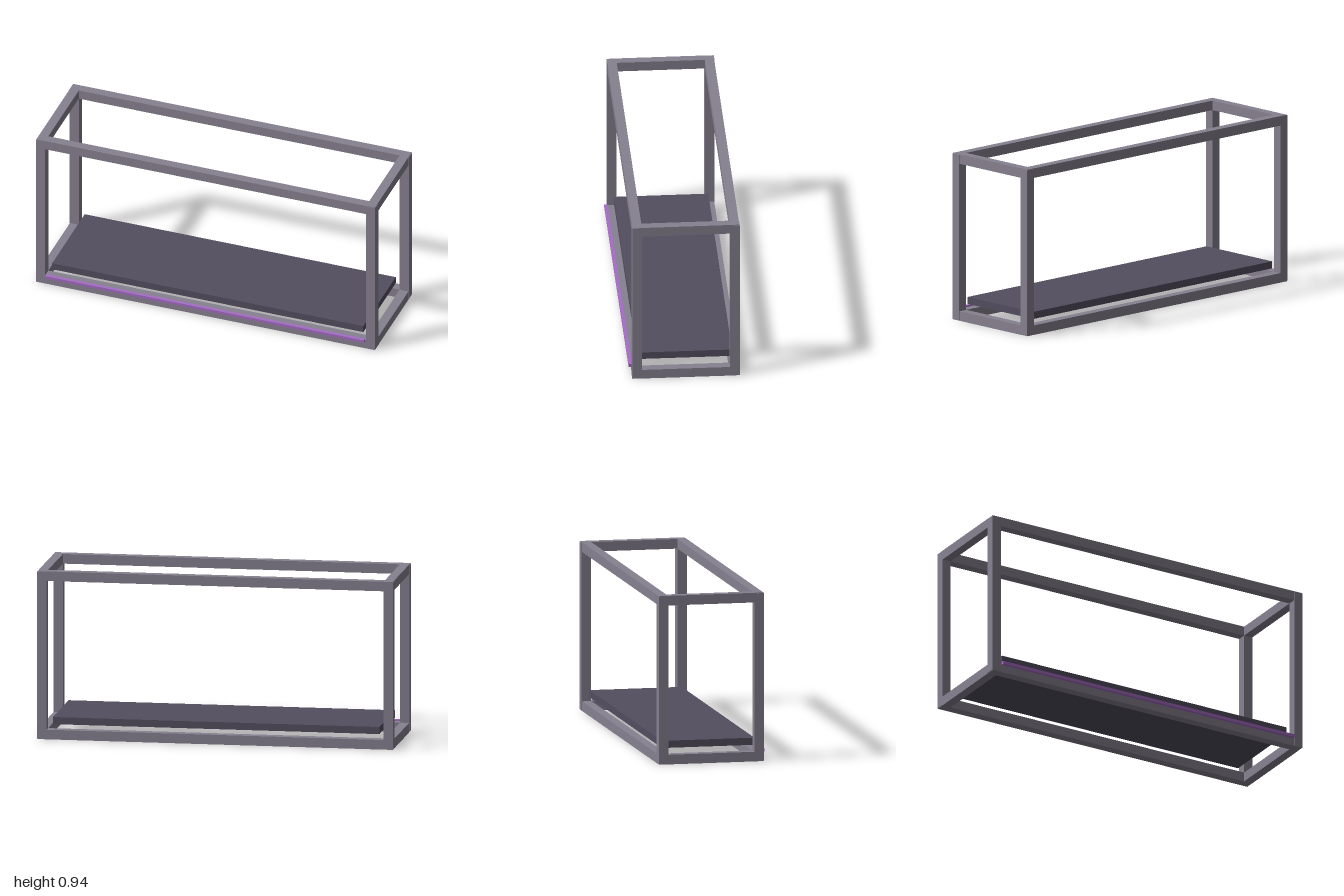
import * as THREE from 'three';

export function createModel() {
  const model = new THREE.Group();
  model.name = 'frameShelf';

  const frameMat = new THREE.MeshStandardMaterial({ name: 'grey frame', color: 0x878190 });
  const shelfMat = new THREE.MeshStandardMaterial({ name: 'dark shelf', color: 0x534e5f });
  const stripMat = new THREE.MeshStandardMaterial({ name: 'purple strip', color: 0xa56cc4 });

  // Box given by its limits on each axis
  function block(name, mat, [x0, x1], [y0, y1], [z0, z1], parent = model) {
    const mesh = new THREE.Mesh(new THREE.BoxGeometry(x1 - x0, y1 - y0, z1 - z0), mat);
    mesh.position.set((x0 + x1) / 2, (y0 + y1) / 2, (z0 + z1) / 2);
    mesh.name = name;
    parent.add(mesh);
  }

  const H = 0.945, T = 0.054, back = -0.305, front = 0.292, lip = 0.003;
  const frame = new THREE.Group();
  frame.name = 'frame';
  model.add(frame);

  const xSpans = { right: [-1, -1 + T], left: [1 - T, 1] };
  const ySpans = { bottom: [0, T], top: [H - T, H] };
  const zSpans = { Back: [back, back + T], Front: [front - T, front] };

  // Corner posts, standing slightly proud of the rails
  for (const [side, xs] of Object.entries(xSpans))
    for (const [end, zs] of Object.entries(zSpans))
      block(`${side}${end}Post`, frameMat, xs, [lip, H - lip], zs, frame);

  for (const [level, ys] of Object.entries(ySpans)) {
    // Long rails
    for (const [end, [z0, z1]] of Object.entries(zSpans))
      block(`${level}${end}Rail`, frameMat, [-1 + lip, 1 - lip], ys,
        end === 'Front' ? [z0, z1 - 0.002] : [z0 + 0.002, z1], frame);
    // Short side rails between the long ones
    for (const [side, [x0, x1]] of Object.entries(xSpans))
      block(`${level}${side}SideRail`, frameMat,
        side === 'left' ? [x0, x1 - 0.002] : [x0 + 0.002, x1], ys, [back + T, front - T], frame);
  }

  // Raised shelf board and the front accent strip
  block('shelfBoard', shelfMat, [-0.917, 0.917], [0.08, 0.12], [-0.268, 0.256]);
  block('accentStrip', stripMat, [-0.94, 0.94], [0.045, 0.062], [0.289, 0.308]);

  return model;
}
